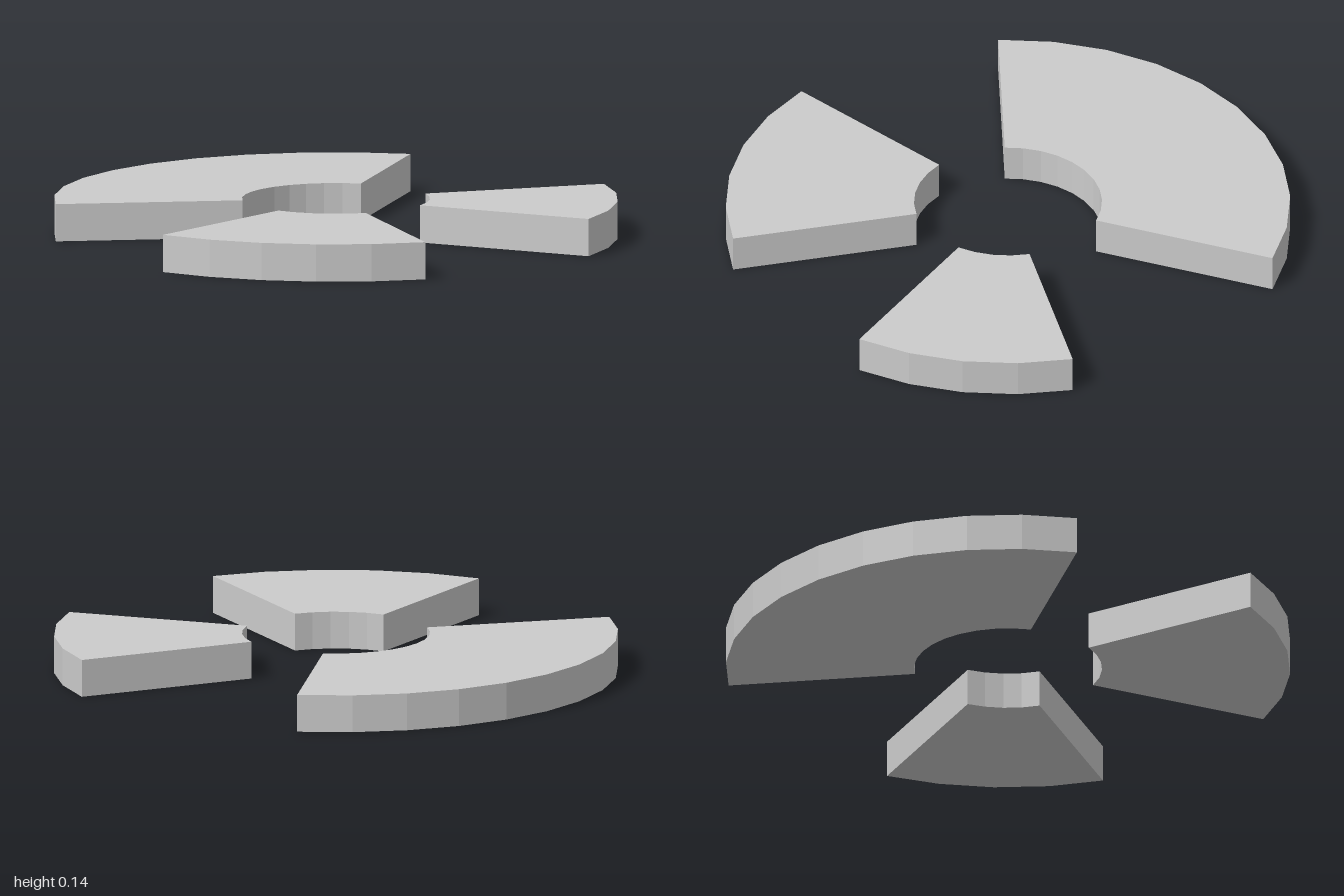
import * as THREE from 'three';

const OUTER = 1.04, INNER = 0.3465, HEIGHT = 0.139;
const STEP = Math.PI / 16; // one facet of a 32-sided ring

// Ring sector from facet index a to b, angles measured from +x towards +z
function sector(name, a, b, material) {
  const points = [];
  const add = (r, i) => points.push(new THREE.Vector2(r * Math.cos(i * STEP), r * Math.sin(i * STEP)));
  for (let i = a; i <= b; i++) add(OUTER, i);
  for (let i = b; i >= a; i--) add(INNER, i);
  const geometry = new THREE.ExtrudeGeometry(new THREE.Shape(points), { depth: HEIGHT, bevelEnabled: false });
  geometry.rotateX(Math.PI / 2); // lay flat, shape y becomes z
  geometry.translate(0.03, HEIGHT, 0.04);
  const mesh = new THREE.Mesh(geometry, material);
  mesh.name = name;
  return mesh;
}

export function createModel() {
  const material = new THREE.MeshStandardMaterial({ color: 0xcccccc, flatShading: true });
  const group = new THREE.Group();
  group.name = 'ringSectors';
  group.add(
    sector('frontLeftSector', 2, 6, material),
    sector('frontRightSector', 10, 15, material),
    sector('backSector', 19, 29, material),
  );
  return group;
}
